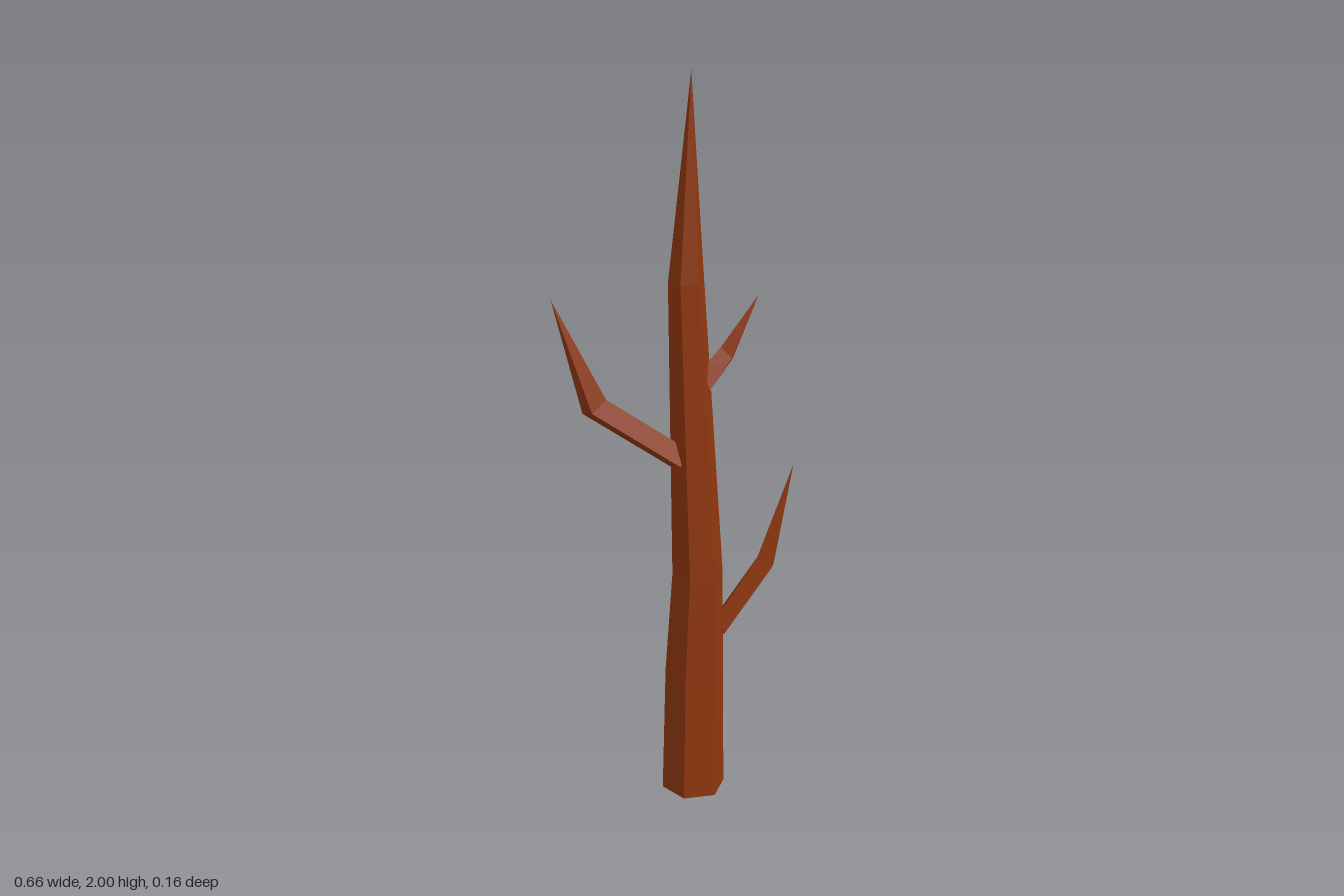
import * as THREE from 'three';

// Faceted limb: polygon rings [x, y, z, radius, ux, uy] joined in order, closed below and pointed at the tip.
// (ux, uy) is each ring's in-plane axis; the other axis is z. turn (+1/-1) sets the winding.
function limb(name, material, sides, phase, turn, rings, tip) {
  const loops = rings.map(([x, y, z, r, ux, uy]) => {
    const len = Math.hypot(ux, uy);
    return Array.from({ length: sides }, (_, k) => {
      const a = phase + (turn * k * 2 * Math.PI) / sides;
      const c = (r * Math.cos(a)) / len;
      return [x + ux * c, y + uy * c, z + r * Math.sin(a)];
    });
  });
  const pos = [];
  const tri = (a, b, c) => pos.push(...a, ...b, ...c);
  const last = loops.length - 1;
  for (let k = 0; k < sides; k++) {
    const n = (k + 1) % sides;
    tri(rings[0].slice(0, 3), loops[0][k], loops[0][n]); // base cap
    for (let i = 0; i < last; i++) {
      const lo = loops[i], hi = loops[i + 1];
      tri(lo[k], hi[k], lo[n]);
      tri(lo[n], hi[k], hi[n]);
    }
    tri(loops[last][k], tip, loops[last][n]); // point
  }
  const geometry = new THREE.BufferGeometry();
  geometry.setAttribute('position', new THREE.Float32BufferAttribute(pos, 3));
  geometry.computeVertexNormals();
  const mesh = new THREE.Mesh(geometry, material);
  mesh.name = name;
  return mesh;
}

export function createModel() {
  const bark = new THREE.MeshStandardMaterial({ color: 0x8f370f });
  bark.name = 'bark';
  bark.flatShading = true;

  const tree = new THREE.Group();
  tree.name = 'bareTree';

  // Six-sided, slightly bent trunk
  tree.add(limb('trunk', bark, 6, 0, 1, [
    [0.047, 0, 0, 0.09, 1, 0],
    [0.049, 0.37, 0, 0.083, 1, 0],
    [0.057, 0.66, 0, 0.071, 1, 0],
    [0.023, 1.47, 0, 0.048, 1, 0],
  ], [0.035, 2, 0]));

  // Four-sided branches, each with one elbow
  const twist = 0.38;
  tree.add(limb('rightBranch', bark, 4, twist, 1, [
    [0.003, 0.995, 0.002, 0.042, 0.1, 1],
    [-0.223, 1.151, 0.003, 0.039, 0.81, 0.59],
  ], [-0.33, 1.44, 0.003]));
  tree.add(limb('lowerLeftBranch', bark, 4, twist, -1, [
    [0.125, 0.49, -0.01, 0.038, -0.25, 1],
    [0.252, 0.668, -0.01, 0.034, -0.92, 0.4],
  ], [0.328, 0.95, -0.01]));
  tree.add(limb('upperLeftBranch', bark, 4, twist, -1, [
    [0.075, 1.2, -0.005, 0.044, -0.2, 1],
    [0.137, 1.272, -0.015, 0.029, -0.7, 0.7],
  ], [0.222, 1.425, -0.015]));

  return tree;
}
